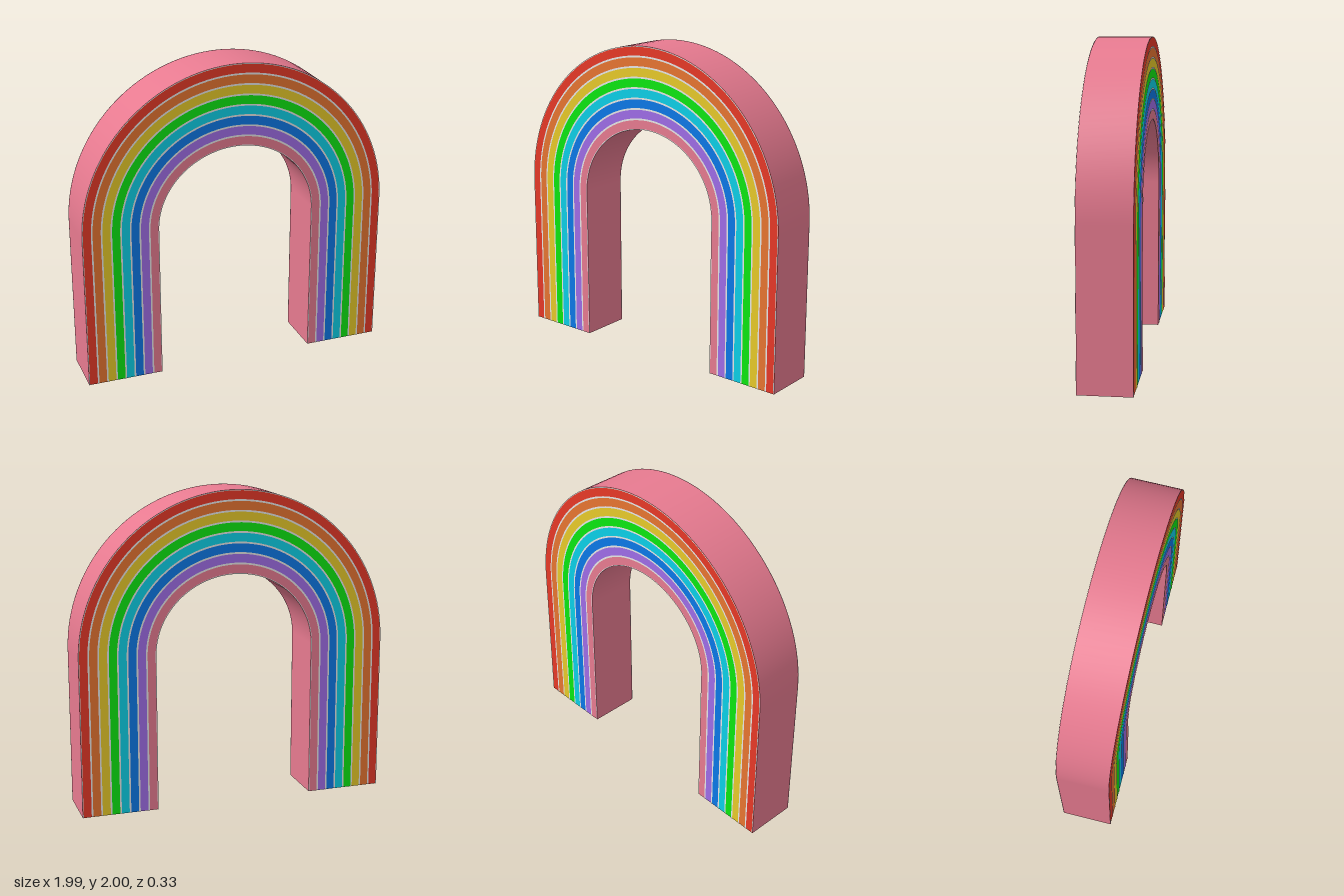
import * as THREE from 'three';

const BANDS = 8, DEPTH = 0.33, SPRING = 1.0, SEGMENTS = 64;

const mat = (name, color) => new THREE.MeshStandardMaterial({ name, color, side: THREE.DoubleSide });

// Arch outline at band position t (0 = outer edge, 8 = inner edge), from right foot over to left foot
function archPoints(t) {
  const rx = 0.995 - 0.0606 * t, ry = 1 - 0.065 * t;
  const pts = [new THREE.Vector2(rx, 0)];
  for (let i = 0; i <= SEGMENTS; i++) {
    const a = (i / SEGMENTS) * Math.PI;
    pts.push(new THREE.Vector2(rx * Math.cos(a), SPRING + ry * Math.sin(a)));
  }
  pts.push(new THREE.Vector2(-rx, 0));
  return pts;
}

// Flat arch-shaped band between two positions
function bandGeometry(t0, t1) {
  return new THREE.ShapeGeometry(new THREE.Shape([...archPoints(t0), ...archPoints(t1).reverse()]));
}

// Curved wall running the depth of the arch: a plane bent along the outline
function wallGeometry(t) {
  const pts = archPoints(t);
  const geo = new THREE.PlaneGeometry(1, DEPTH, pts.length - 1, 1);
  const pos = geo.attributes.position;
  for (let i = 0; i < pos.count; i++) {
    const p = pts[i % pts.length];
    pos.setXYZ(i, p.x, p.y, i < pts.length ? -DEPTH / 2 : DEPTH / 2);
  }
  geo.computeVertexNormals();
  return geo;
}

export function createModel() {
  const model = new THREE.Group();
  model.name = 'rainbowArch';

  const pink = mat('pink', 0xec7d93);
  const line = mat('paleGrey', 0xececec);
  const colours = [
    mat('red', 0xf03b29), mat('orange', 0xec7732), mat('yellow', 0xecce2a), mat('green', 0x0cf012),
    mat('cyan', 0x0cd8f0), mat('blue', 0x0c7df0), mat('purple', 0xa571f0), pink,
  ];

  const add = (parent, name, geo, material) => {
    const mesh = new THREE.Mesh(geo, material);
    mesh.name = name;
    parent.add(mesh);
    return mesh;
  };

  // Striped faces, front and back
  for (const side of ['front', 'back']) {
    const face = new THREE.Group();
    face.name = side + 'Face';
    if (side === 'back') face.rotation.y = Math.PI;
    colours.forEach((m, i) => {
      add(face, m.name + 'Stripe', bandGeometry(i, i + 1), m).position.z = DEPTH / 2;
    });
    // Thin pale lines between the stripes and along both rims
    for (let i = 0; i <= BANDS; i++) {
      const t0 = Math.max(0, i - 0.085), t1 = Math.min(BANDS, i + 0.085);
      add(face, 'dividerLine', bandGeometry(t0, t1), line).position.z = DEPTH / 2 + 0.002;
    }
    model.add(face);
  }

  // Outer and inner walls
  add(model, 'outerWall', wallGeometry(0), pink);
  add(model, 'innerWall', wallGeometry(BANDS), pink);

  // Closed sole under the left foot; the right foot is open
  const inner = 0.995 - 0.0606 * BANDS;
  const sole = add(model, 'leftSole', new THREE.PlaneGeometry(0.995 - inner, DEPTH), pink);
  sole.rotation.x = Math.PI / 2;
  sole.position.x = (0.995 + inner) / 2;

  return model;
}
